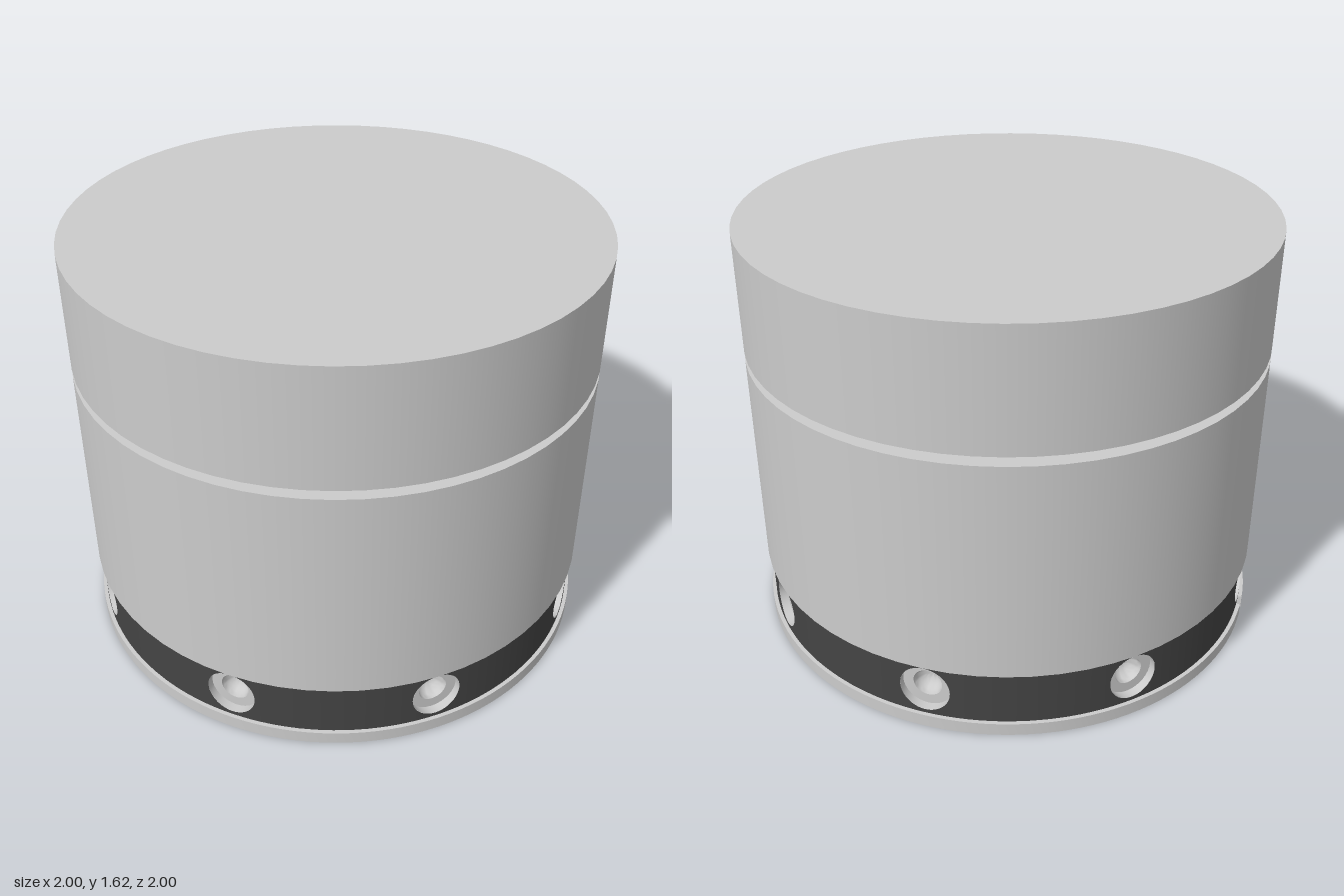
import * as THREE from 'three';
import { toCreasedNormals } from 'three/addons/utils/BufferGeometryUtils.js';

const BAND_R = 0.985, BAND_MID = 0.16, BAND_HALF = 0.11;
const PORT_R = 0.095, BORE_R = 0.055, SEAT = 0.95, PORTS = 8;

const grey = new THREE.MeshStandardMaterial({ color: 0xcccccc });
const greyInside = new THREE.MeshStandardMaterial({ color: 0xcccccc, side: THREE.DoubleSide });
const dark = new THREE.MeshStandardMaterial({ color: 0x444444 });

function add(parent, name, geometry, material) {
  const mesh = new THREE.Mesh(geometry, material);
  mesh.name = name;
  parent.add(mesh);
  return mesh;
}

// Closed drum between two heights
function drum(y0, y1) {
  return new THREE.CylinderGeometry(1, 1, y1 - y0, 64).translate(0, (y0 + y1) / 2, 0);
}

// Base disc with a small index notch on the -x rim
function baseGeometry() {
  const w = 0.025, a = Math.PI - Math.asin(w);
  const s = new THREE.Shape();
  s.absarc(0, 0, 1, -a, a, false);
  s.lineTo(-0.97, w);
  s.lineTo(-0.97, -w);
  s.closePath();
  const g = new THREE.ExtrudeGeometry(s, { depth: 0.05, bevelEnabled: false, curveSegments: 64 });
  return toCreasedNormals(g.rotateX(-Math.PI / 2), 0.5);
}

// One curved band panel: a ring stretched from the round hole to a rectangle, then bent
function panelGeometry() {
  const g = new THREE.RingGeometry(1, 2, 64, 5);
  const p = g.attributes.position, n = g.attributes.normal;
  const halfWidth = BAND_R * Math.PI / PORTS;
  for (let i = 0; i < p.count; i++) {
    const r = Math.hypot(p.getX(i), p.getY(i)), t = r - 1;
    const c = p.getX(i) / r, s = p.getY(i) / r, m = Math.max(Math.abs(c), Math.abs(s));
    const x = THREE.MathUtils.lerp(PORT_R * c, halfWidth * c / m, t);
    const y = THREE.MathUtils.lerp(PORT_R * s, BAND_HALF * s / m, t);
    const a = x / BAND_R;
    p.setXYZ(i, BAND_R * Math.sin(a), y, BAND_R * Math.cos(a));
    n.setXYZ(i, Math.sin(a), 0, Math.cos(a));
  }
  return g;
}

// Recessed port: counterbore wall, flat seat and a rounded blind bore
function portGeometry() {
  const pts = [new THREE.Vector2(PORT_R, BAND_R), new THREE.Vector2(PORT_R, SEAT)];
  for (let i = 0; i <= 8; i++) {
    const a = i / 8 * Math.PI / 2;
    pts.push(new THREE.Vector2(i === 8 ? 0 : BORE_R * Math.cos(a), SEAT - BORE_R * Math.sin(a)));
  }
  const g = new THREE.LatheGeometry(pts, 32).rotateX(Math.PI / 2);
  // Trim the mouth to the curve of the band
  const p = g.attributes.position;
  for (let i = 0; i < p.count; i++) {
    p.setZ(i, Math.min(p.getZ(i), Math.sqrt(BAND_R ** 2 - p.getX(i) ** 2)));
  }
  return toCreasedNormals(g, 0.6);
}

export function createModel() {
  const model = new THREE.Group();
  model.name = 'lidded drum';

  add(model, 'base', baseGeometry(), grey);
  add(model, 'body', drum(0.27, 1.13), grey);
  add(model, 'lid', drum(1.165, 1.62), grey);

  // Dark band with eight ports
  const band = new THREE.Group();
  band.name = 'portBand';
  model.add(band);
  const panel = panelGeometry(), port = portGeometry();
  for (let i = 0; i < PORTS; i++) {
    const section = new THREE.Group();
    section.name = 'bandSection';
    section.position.y = BAND_MID;
    section.rotation.y = i * Math.PI * 2 / PORTS;
    add(section, 'bandPanel', panel, dark);
    add(section, 'port', port, greyInside);
    band.add(section);
  }
  return model;
}
